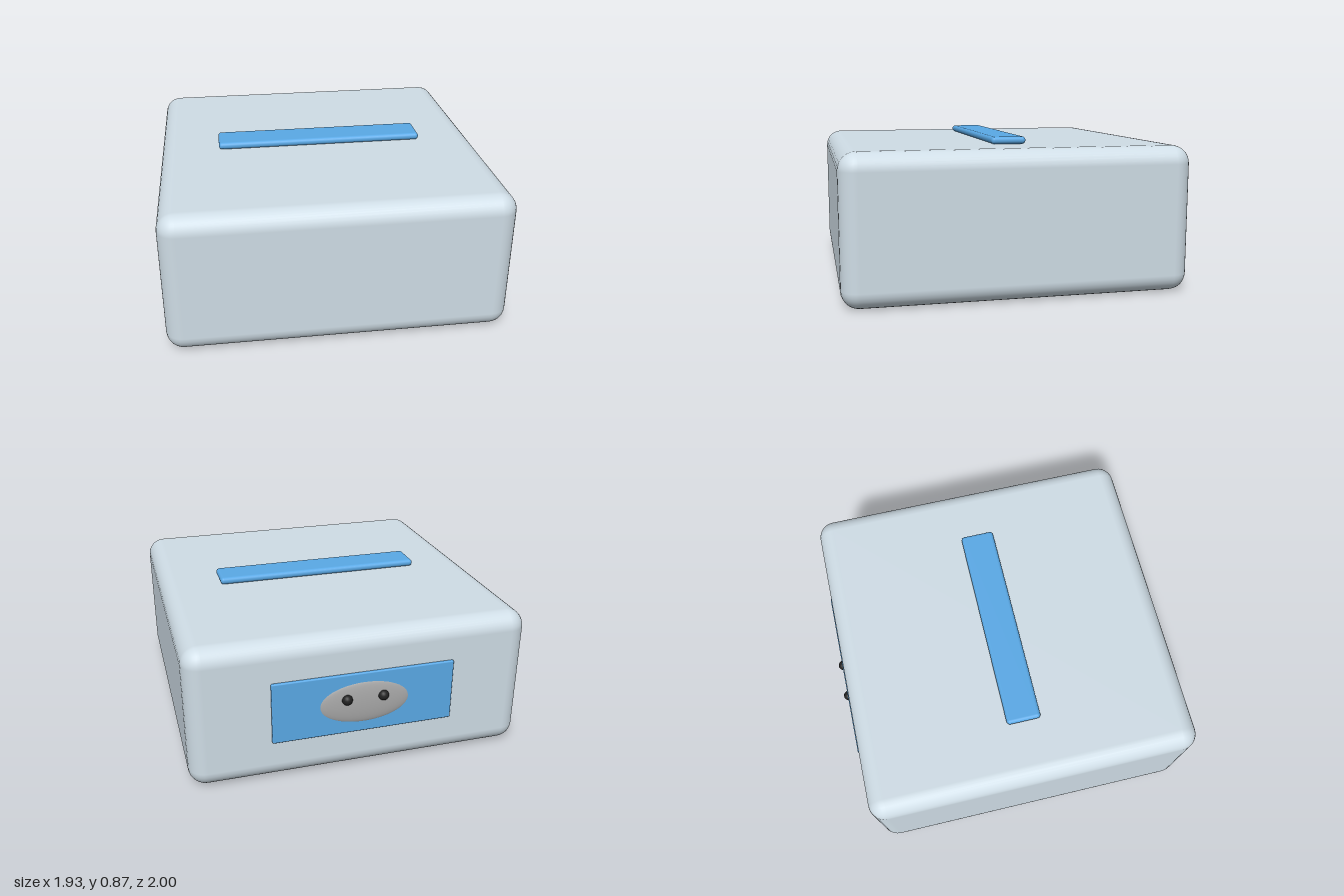
import * as THREE from 'three';
import { RoundedBoxGeometry } from 'three/addons/geometries/RoundedBoxGeometry.js';

export function createModel() {
  const group = new THREE.Group();
  const shell = new THREE.MeshStandardMaterial({ color: 0xcfdde6 });
  const blue = new THREE.MeshStandardMaterial({ color: 0x5aa9e6 });
  const grey = new THREE.MeshStandardMaterial({ color: 0xaaaaaa });
  const black = new THREE.MeshStandardMaterial({ color: 0x222222 });

  const add = (name, geometry, material, x, y, z) => {
    const mesh = new THREE.Mesh(geometry, material);
    mesh.name = name;
    mesh.position.set(x, y, z);
    group.add(mesh);
    return mesh;
  };

  // Soft-edged main body
  add('body', new RoundedBoxGeometry(1.93, 0.825, 1.94, 4, 0.1), shell, 0, 0.4125, 0.03);

  // Raised bar on the top
  add('topBar', new RoundedBoxGeometry(1.23, 0.042, 0.2, 4, 0.02), blue, 0, 0.846, 0.03);

  // Rear panel with a shallow oval socket
  add('rearPanel', new RoundedBoxGeometry(1.03, 0.36, 0.021, 3, 0.008), blue, 0, 0.422, -0.9495);
  const oval = add('socketOval', new THREE.SphereGeometry(1, 40, 20), grey, 0, 0.425, -0.955);
  oval.scale.set(0.26, 0.125, 0.02);

  // Round pins in the socket
  for (const side of [-1, 1]) {
    add(side > 0 ? 'leftPin' : 'rightPin', new THREE.SphereGeometry(0.03, 20, 14), black, side * 0.103, 0.457, -0.97);
  }
  return group;
}
